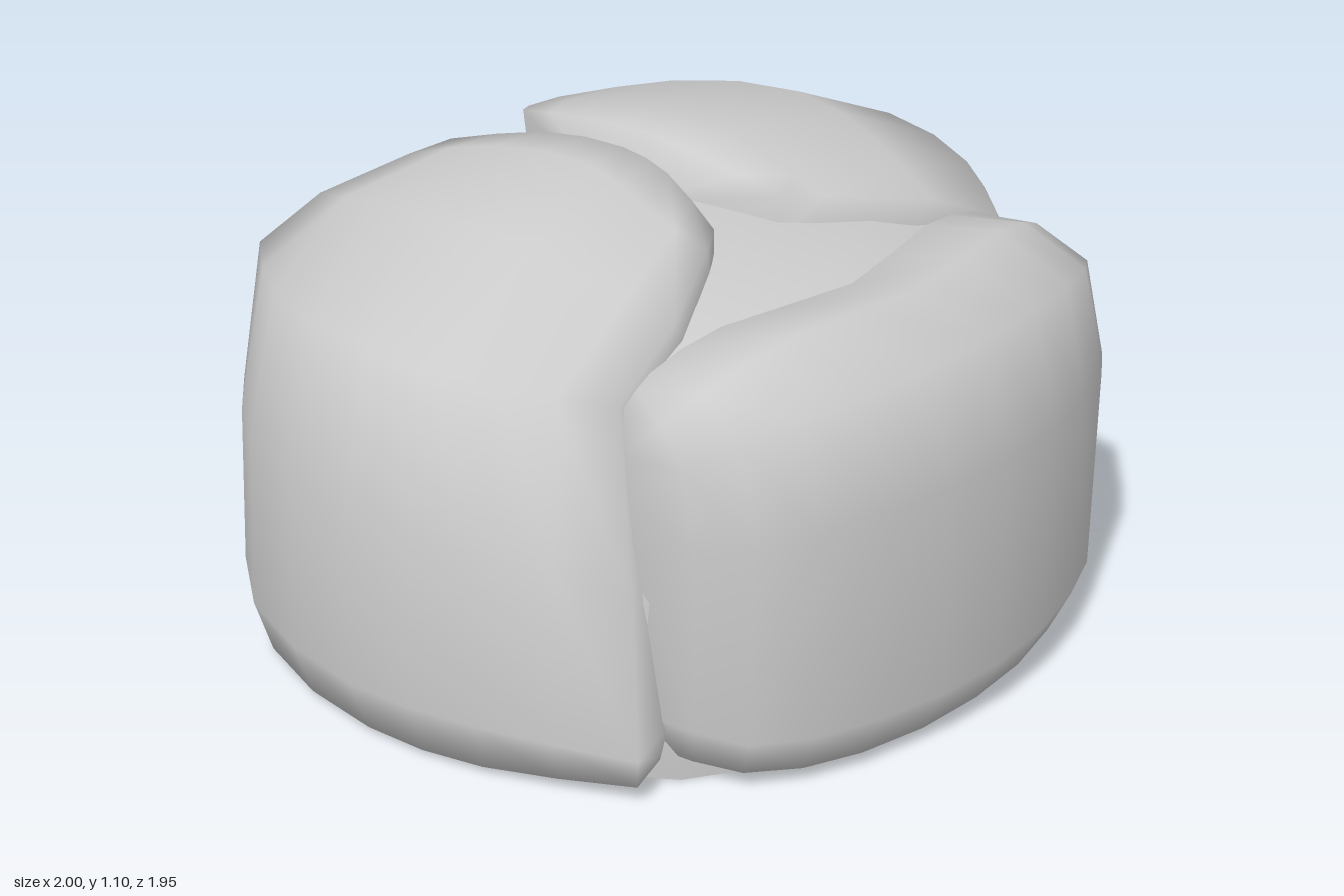
import * as THREE from 'three';
import { mergeVertices, toCreasedNormals } from 'three/addons/utils/BufferGeometryUtils.js';

const material = new THREE.MeshStandardMaterial({ color: 0xcccccc, side: THREE.DoubleSide });
const v3 = (a) => new THREE.Vector3(...a);

// Pull a point inwards towards the hat's core, giving a padded flap its thickness;
// kx and kz tell how far the core follows the point sideways and lengthways
function tuckIn(p, kx, kz, depth) {
  const core = new THREE.Vector3(p.x * kx, Math.min(p.y, 0.35), p.z * kz);
  return p.clone().lerp(core, depth);
}

// Padded panel: rows smoothed across, joined downwards, with the border tucked in
function paddedPanel(name, controlRows, kx, kz) {
  const nc = (controlRows[0].length - 1) * 2;
  const nr = controlRows.length - 1;
  const rows = controlRows.map((row) => new THREE.CatmullRomCurve3(row).getPoints(nc));
  const w = nc + 3;
  const positions = [];
  const index = [];
  for (let r = -1; r <= nr + 1; r++) {
    for (let c = -1; c <= nc + 1; c++) {
      const rr = Math.min(Math.max(r, 0), nr);
      const cc = Math.min(Math.max(c, 0), nc);
      // side borders go deeper than the top edge and the hem
      const depth = cc !== c ? 0.17 : rr !== r ? 0.12 : 0;
      positions.push(...tuckIn(rows[rr][cc], kx, kz, depth).toArray());
      if (r <= nr && c <= nc) {
        const a = (r + 1) * w + c + 1;
        index.push(a, a + 1, a + w, a + 1, a + w + 1, a + w);
      }
    }
  }
  let g = new THREE.BufferGeometry();
  g.setAttribute('position', new THREE.Float32BufferAttribute(positions, 3));
  g.setIndex(index);
  g = mergeVertices(g, 1e-4);
  g.computeVertexNormals();
  const mesh = new THREE.Mesh(g, material);
  mesh.name = name;
  return mesh;
}

// Hollow crown: inner lining down to the rim, then the outside up to the top
function crown() {
  const profile = [
    [0, 0.95], [0.54, 0.88], [0.85, 0.77], [0.95, 0.44], [0.88, 0],
    [0.97, 0], [1, 0.45], [0.89, 0.8], [0.72, 0.87], [0.52, 0.92], [0, 0.985],
  ].map(([r, y]) => new THREE.Vector2(r, y));
  let g = new THREE.LatheGeometry(profile, 16);
  const p = g.attributes.position;
  for (let i = 0; i < p.count; i++) {
    p.setX(i, p.getX(i) * 0.92);
    p.setZ(i, p.getZ(i) * (p.getZ(i) > 0 ? 0.89 : 0.975));
  }
  g = toCreasedNormals(g, 1.1);
  const mesh = new THREE.Mesh(g, material);
  mesh.name = 'crown';
  return mesh;
}

// Left ear flap, from the top seam down to the hem; each row runs back to front
const earRows = [
  [[0.01, 0.97, -0.28], [0, 0.98, -0.2], [0, 0.98, -0.12], [0, 0.98, -0.05], [0.01, 0.97, 0.03]],
  [[0.12, 1.0, -0.56], [0.06, 1.065, -0.32], [0.05, 1.09, -0.08], [0.06, 1.07, 0.06], [0.12, 1.01, 0.25]],
  [[0.2, 0.97, -0.62], [0.19, 1.06, -0.36], [0.19, 1.1, -0.05], [0.2, 1.055, 0.12], [0.2, 1.0, 0.3]],
  [[0.4, 0.91, -0.71], [0.5, 1.0, -0.42], [0.53, 1.06, -0.05], [0.5, 1.02, 0.2], [0.44, 0.95, 0.42]],
  [[0.56, 0.83, -0.745], [0.78, 0.87, -0.45], [0.88, 0.9, -0.05], [0.8, 0.88, 0.25], [0.65, 0.85, 0.455]],
  [[0.62, 0.5, -0.76], [0.89, 0.55, -0.43], [0.98, 0.57, -0.03], [0.91, 0.55, 0.3], [0.74, 0.49, 0.57]],
  [[0.64, 0.15, -0.755], [0.91, 0.15, -0.43], [1, 0.15, -0.02], [0.94, 0.15, 0.3], [0.8, 0.14, 0.64]],
  [[0.62, 0.04, -0.73], [0.87, 0.015, -0.42], [0.95, 0.015, -0.02], [0.9, 0.02, 0.28], [0.77, 0.05, 0.61]],
];

// Left half of the front flap, from the top edge to the hem; each row runs from the middle out
const frontRows = [
  [[0, 0.93, 0.54], [0.35, 0.93, 0.47], [0.55, 0.89, 0.45], [0.63, 0.84, 0.45]],
  [[0, 0.975, 0.72], [0.35, 0.975, 0.67], [0.58, 0.9, 0.61], [0.67, 0.76, 0.49]],
  [[0, 0.92, 0.91], [0.35, 0.9, 0.86], [0.6, 0.84, 0.74], [0.69, 0.68, 0.52]],
  [[0, 0.65, 0.975], [0.35, 0.65, 0.92], [0.61, 0.62, 0.79], [0.7, 0.55, 0.54]],
  [[0, 0.15, 0.975], [0.35, 0.15, 0.92], [0.61, 0.15, 0.78], [0.69, 0.17, 0.54]],
  [[0, 0.04, 0.92], [0.34, 0.04, 0.87], [0.58, 0.05, 0.74], [0.66, 0.07, 0.53]],
];

const mirrored = ([x, y, z]) => [-x, y, z];

export function createModel() {
  const hat = new THREE.Group();
  hat.name = 'flapHat';
  const leftEar = earRows.map((row) => row.map(v3));
  const rightEar = earRows.map((row) => row.map((p) => v3(mirrored(p))).reverse());
  const front = frontRows.map((row) => [...row.slice().reverse(), ...row.slice(1).map(mirrored)].map(v3));
  hat.add(
    crown(),
    paddedPanel('leftEarFlap', leftEar, 0, 0.6),
    paddedPanel('rightEarFlap', rightEar, 0, 0.6),
    paddedPanel('frontFlap', front, 0.4, 0),
  );
  return hat;
}
